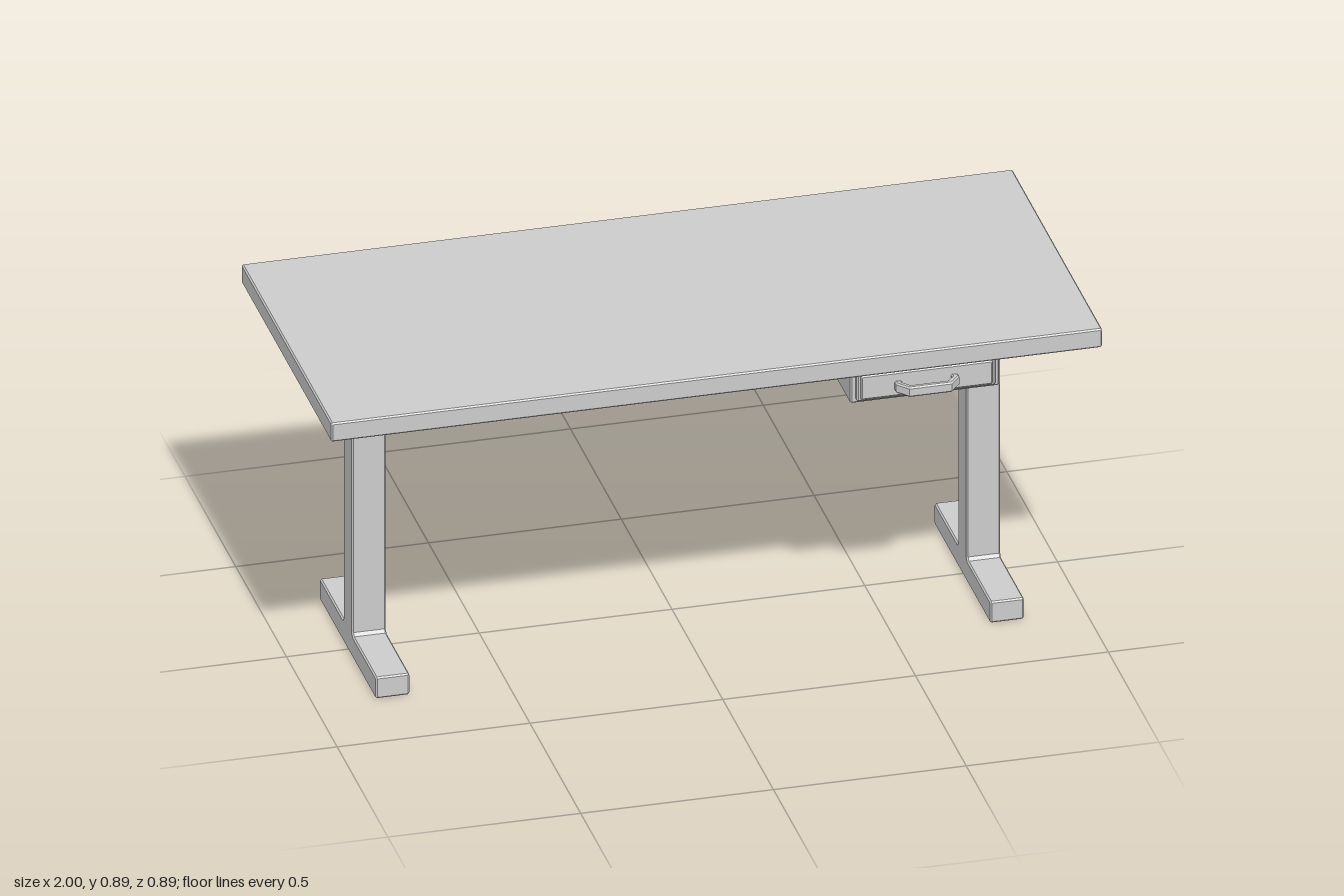
import * as THREE from 'three';

const material = new THREE.MeshStandardMaterial({ color: 0xcccccc, flatShading: true });
const BEVEL = 0.004;

// Extrude a closed outline along +z with a small chamfer kept inside the outline
function extrude(points, depth) {
  const shape = new THREE.Shape(points.map(([x, y]) => new THREE.Vector2(x, y)));
  const geo = new THREE.ExtrudeGeometry(shape, {
    depth: depth - 2 * BEVEL, bevelEnabled: true, bevelSegments: 1,
    bevelSize: BEVEL, bevelThickness: BEVEL, bevelOffset: -BEVEL,
  });
  return geo.translate(0, 0, BEVEL);
}

// Rectangle with chamfered corners
function rect(x0, x1, y0, y1, c = BEVEL) {
  return [[x0 + c, y0], [x1 - c, y0], [x1, y0 + c], [x1, y1 - c],
    [x1 - c, y1], [x0 + c, y1], [x0, y1 - c], [x0, y0 + c]];
}

export function createModel() {
  const group = new THREE.Group();
  const add = (name, geo, parent = group) => {
    const mesh = new THREE.Mesh(geo, material);
    mesh.name = name;
    parent.add(mesh);
    return mesh;
  };
  const block = (name, x0, x1, y0, y1, z0, z1, parent) =>
    add(name, extrude(rect(x0, x1, y0, y1), z1 - z0).translate(0, 0, z0), parent);

  // Table top
  block('tableTop', -1, 1, 0.835, 0.888, -0.443, 0.443);

  // I-shaped legs: foot, column and top bracket in one outline
  const half = [
    [0.272, 0], [0.276, 0.004], [0.276, 0.056], [0.272, 0.06], [0.05, 0.06], [0.042, 0.068],
    [0.042, 0.768], [0.045, 0.775], [0.052, 0.778], [0.204, 0.778], [0.208, 0.782], [0.208, 0.836],
  ];
  const outline = [...half, ...half.map(([z, y]) => [-z, y]).reverse()];
  const legGeo = extrude(outline, 0.088).translate(0, 0, -0.044).rotateY(-Math.PI / 2);
  for (const side of [-1, 1]) {
    add(side > 0 ? 'leftLeg' : 'rightLeg', legGeo).position.x = side * 0.797;
  }

  // Drawer under the top, with a stepped front
  const drawer = new THREE.Group();
  drawer.name = 'drawer';
  group.add(drawer);
  block('drawerCase', 0.363, 0.75, 0.728, 0.836, -0.378, 0.378, drawer);
  block('drawerFront', 0.377, 0.737, 0.737, 0.822, 0.37, 0.39, drawer);
  block('drawerPanel', 0.386, 0.728, 0.744, 0.812, 0.38, 0.398, drawer);

  // Bow handle, outlined in plan and extruded upwards
  const bow = [
    [-0.082, 0], [-0.082, 0.016], [-0.055, 0.047], [0.055, 0.047], [0.082, 0.016], [0.082, 0],
    [0.064, 0], [0.064, 0.012], [0.047, 0.031], [-0.047, 0.031], [-0.064, 0.012], [-0.064, 0],
  ];
  const handle = extrude(bow, 0.028).rotateX(Math.PI / 2);
  add('drawerHandle', handle, drawer).position.set(0.555, 0.788, 0.396);

  return group;
}
